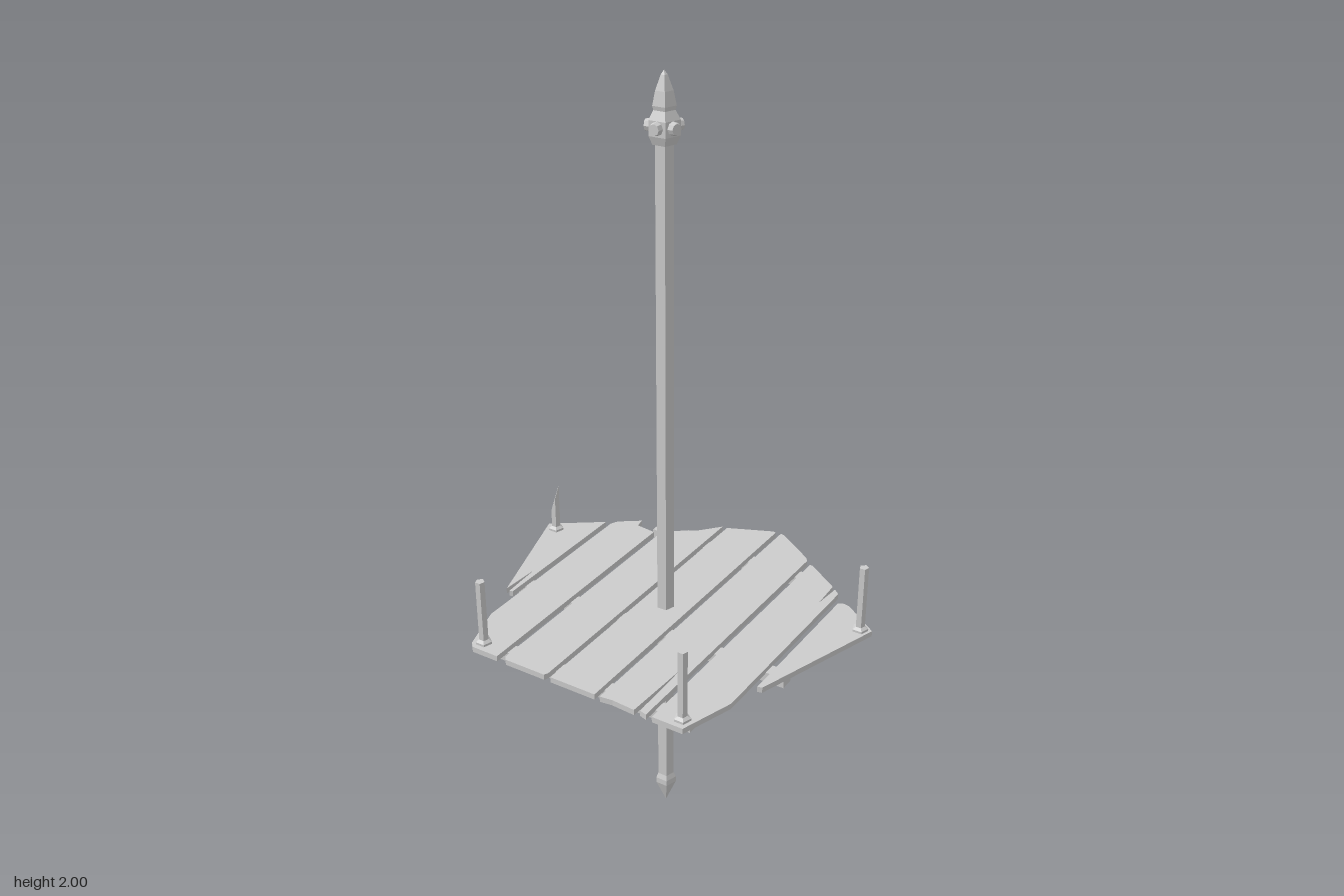
import * as THREE from 'three';

const material = new THREE.MeshStandardMaterial({ color: 0xcccccc, flatShading: true, side: THREE.DoubleSide });

function add(parent, name, geometry, x = 0, y = 0, z = 0) {
  const mesh = new THREE.Mesh(geometry, material);
  mesh.name = name;
  mesh.position.set(x, y, z);
  parent.add(mesh);
  return mesh;
}

// Flat slab from an outline of [x, z] corners, between two heights
function slab(outline, y0, y1) {
  const shape = new THREE.Shape(outline.map(([x, z]) => new THREE.Vector2(x, -z)));
  const geometry = new THREE.ExtrudeGeometry(shape, { depth: y1 - y0, bevelEnabled: false });
  return geometry.rotateX(-Math.PI / 2).translate(0, y0, 0);
}

// Five-sided turned part from [radius, height] points, flat side to the front
function turned(profile) {
  return new THREE.LatheGeometry(profile.map(([r, y]) => new THREE.Vector2(r, y)), 5, Math.PI);
}

export function createModel() {
  const model = new THREE.Group();
  model.name = 'plankPlatformOnPole';

  // Deck planks, some split or splintered at the ends
  const planks = [
    [[-0.372, -0.24], [-0.502, -0.147], [-0.395, 0.185], [-0.389, 0.075], [-0.382, 0.19], [-0.373, 0.187]],
    [[-0.355, -0.24], [-0.345, -0.26], [-0.29, -0.3], [-0.285, -0.272], [-0.227, -0.265], [-0.227, 0.44],
      [-0.302, 0.44], [-0.315, 0.427], [-0.355, 0.3]],
    [[-0.209, -0.277], [-0.15, -0.325], [-0.13, -0.335], [-0.08, -0.393], [-0.08, 0.43], [-0.085, 0.44],
      [-0.2, 0.44], [-0.209, 0.43]],
    [[-0.066, -0.393], [0.053, -0.445], [0.062, -0.443], [0.062, 0.44], [-0.066, 0.44]],
    [[0.077, -0.445], [0.088, -0.443], [0.198, -0.368], [0.206, -0.355], [0.206, 0.44], [0.187, 0.435],
      [0.181, 0.25], [0.173, 0.44], [0.11, 0.436], [0.077, 0.44]],
    [[0.222, -0.342], [0.23, -0.342], [0.323, -0.277], [0.327, -0.19], [0.334, -0.268], [0.351, -0.253],
      [0.351, 0.3], [0.305, 0.44], [0.222, 0.44]],
    [[0.37, -0.212], [0.38, -0.22], [0.4, -0.217], [0.499, -0.145], [0.382, 0.207], [0.37, 0.21]],
  ];
  const deck = new THREE.Group();
  deck.name = 'deck';
  model.add(deck);
  planks.forEach((outline, i) => add(deck, `plank${i + 1}`, slab(outline, 0.622, 0.637)));

  // Beams under the deck, the back one broken off
  add(model, 'frontBeam', new THREE.BoxGeometry(0.6, 0.027, 0.035), 0, 0.61, 0.382);
  add(model, 'middleBeam', new THREE.BoxGeometry(0.8, 0.027, 0.035), 0, 0.61, 0.116);
  add(model, 'backBeam', slab([[-0.25, -0.318], [-0.215, -0.32], [-0.18, -0.312], [-0.15, -0.32],
    [0.25, -0.32], [0.25, -0.285], [-0.205, -0.285], [-0.21, -0.295], [-0.25, -0.297]], 0.597, 0.623));

  // Corner posts, each with a small collar
  const posts = [
    ['frontLeftPost', 0.286, 0.41, 0.826], ['frontRightPost', -0.29, 0.41, 0.815],
    ['backLeftPost', 0.47, -0.135, 0.82], ['backRightPost', -0.468, -0.135, 0.72, true],
  ];
  for (const [name, x, z, top, broken] of posts) {
    const post = new THREE.Group();
    post.name = name;
    post.position.set(x, 0, z);
    model.add(post);
    add(post, 'collar', turned([[0, 0.63], [0.021, 0.63], [0.021, 0.643], [0.012, 0.649]]));
    const geometry = turned([[0.012, 0.63], [0.012, top], [0, top]]);
    if (broken) {
      // Raise the top into a slanted splinter
      const p = geometry.attributes.position;
      for (let i = 0; i < p.count; i++) {
        if (p.getY(i) < 0.7) continue;
        const px = p.getX(i), pz = p.getZ(i);
        p.setY(i, 0.735 + px * 3 - pz * 1.8);
      }
    }
    add(post, 'shaft', geometry);
  }

  // Central pole with a pointed foot
  const pole = new THREE.Group();
  pole.name = 'pole';
  pole.position.z = 0.032;
  model.add(pole);
  add(pole, 'shaft', turned([[0.022, 0.08], [0.022, 1.845]]));
  add(pole, 'foot', turned([[0, 0], [0.028, 0.068], [0.028, 0.084], [0.021, 0.1]]));

  // Finial: faceted head with a stud on each side and a spike on top
  add(pole, 'finialHead', turned([[0, 1.84], [0.028, 1.84], [0.037, 1.86], [0.037, 1.895], [0.025, 1.916]]));
  add(pole, 'finialSpike', turned([[0.025, 1.914], [0.028, 1.925], [0.021, 1.957], [0.008, 1.99], [0, 2]]));
  for (let i = 0; i < 5; i++) {
    const stud = new THREE.Group();
    stud.name = `stud${i + 1}`;
    stud.position.y = 1.879;
    stud.rotation.y = (i * Math.PI * 2) / 5;
    pole.add(stud);
    const geometry = new THREE.CylinderGeometry(0.013, 0.017, 0.018, 8).rotateX(Math.PI / 2);
    add(stud, 'studCap', geometry, 0, 0, 0.034);
  }
  return model;
}
